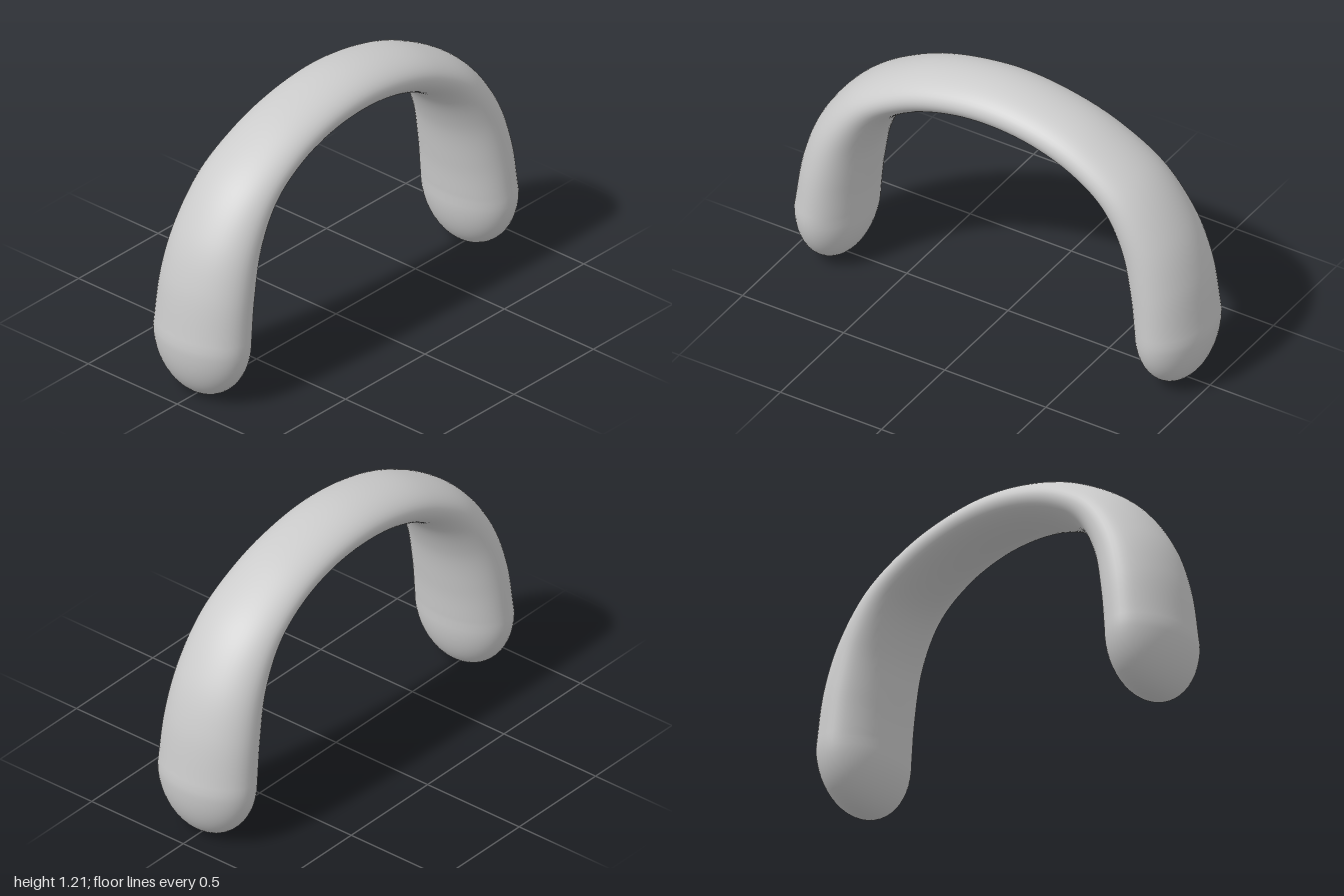
import * as THREE from 'three';

// Stations from crown to leg: outer x, outer y, inner x, inner y, half depth, z shift
const STATIONS = [
  [0, 1.205, 0, 1.015, 0.18, 0.007],
  [0.25, 1.177, 0.2, 0.995, 0.181, 0.007],
  [0.48, 1.103, 0.39, 0.93, 0.187, 0.006],
  [0.71, 0.96, 0.53, 0.83, 0.2, 0.004],
  [0.87, 0.76, 0.62, 0.66, 0.216, 0.002],
  [0.955, 0.545, 0.665, 0.45, 0.232, 0],
  [0.998, 0.28, 0.685, 0.28, 0.24, 0],
];
const SIDES = 48, ARCH_STEPS = 96, CAP_STEPS = 14;

function archGeometry() {
  // Mirror the half profile into a full arch running from the +x leg to the -x leg
  const mirrored = STATIONS.slice(1).map(([ox, oy, ix, iy, d, z]) => [-ox, oy, -ix, iy, d, z]);
  const all = [...STATIONS].reverse().concat(mirrored);
  const curve = (fn) => new THREE.CatmullRomCurve3(all.map(fn), false, 'catmullrom', 0.5);
  const outer = curve((s) => new THREE.Vector3(s[0], s[1], s[5]));
  const inner = curve((s) => new THREE.Vector3(s[2], s[3], s[5]));
  const depth = curve((s) => new THREE.Vector3(s[4], 0, 0));

  const rings = [];
  for (let i = 0; i <= ARCH_STEPS; i++) {
    const t = i / ARCH_STEPS;
    const o = outer.getPoint(t), n = inner.getPoint(t);
    rings.push({
      centre: o.clone().add(n).multiplyScalar(0.5),
      half: o.clone().sub(n).multiplyScalar(0.5),
      depth: depth.getPoint(t).x,
    });
  }

  // Rounded foot at each end
  const foot = (end) => Array.from({ length: CAP_STEPS - 1 }, (_, k) => {
    const a = ((k + 1) / CAP_STEPS) * Math.PI / 2;
    const centre = end.centre.clone();
    centre.y *= 1 - Math.sin(a);
    return { centre, half: end.half.clone().multiplyScalar(Math.cos(a)), depth: end.depth * Math.cos(a) };
  });
  const first = rings[0], last = rings[rings.length - 1];
  const sections = [...foot(first).reverse(), ...rings, ...foot(last)];

  // Elliptical cross-sections
  const positions = [], index = [];
  for (const { centre, half, depth: d } of sections) {
    for (let j = 0; j < SIDES; j++) {
      const a = (j / SIDES) * Math.PI * 2, c = Math.cos(a);
      positions.push(centre.x + half.x * c, centre.y + half.y * c, centre.z + d * Math.sin(a));
    }
  }
  const startPole = sections.length * SIDES, endPole = startPole + 1;
  positions.push(first.centre.x, 0, first.centre.z, last.centre.x, 0, last.centre.z);

  for (let j = 0; j < SIDES; j++) {
    const k = (j + 1) % SIDES;
    for (let i = 0; i < sections.length - 1; i++) {
      const r = i * SIDES, s = r + SIDES;
      index.push(r + j, s + j, r + k, s + j, s + k, r + k);
    }
    const e = (sections.length - 1) * SIDES;
    index.push(startPole, j, k, e + j, endPole, e + k);
  }

  const geometry = new THREE.BufferGeometry();
  geometry.setAttribute('position', new THREE.Float32BufferAttribute(positions, 3));
  geometry.setIndex(index);
  geometry.computeVertexNormals();
  return geometry;
}

export function createModel() {
  const group = new THREE.Group();
  group.name = 'archedHandle';
  const arch = new THREE.Mesh(archGeometry(), new THREE.MeshStandardMaterial({ color: 0xcccccc }));
  arch.name = 'arch';
  group.add(arch);
  return group;
}
